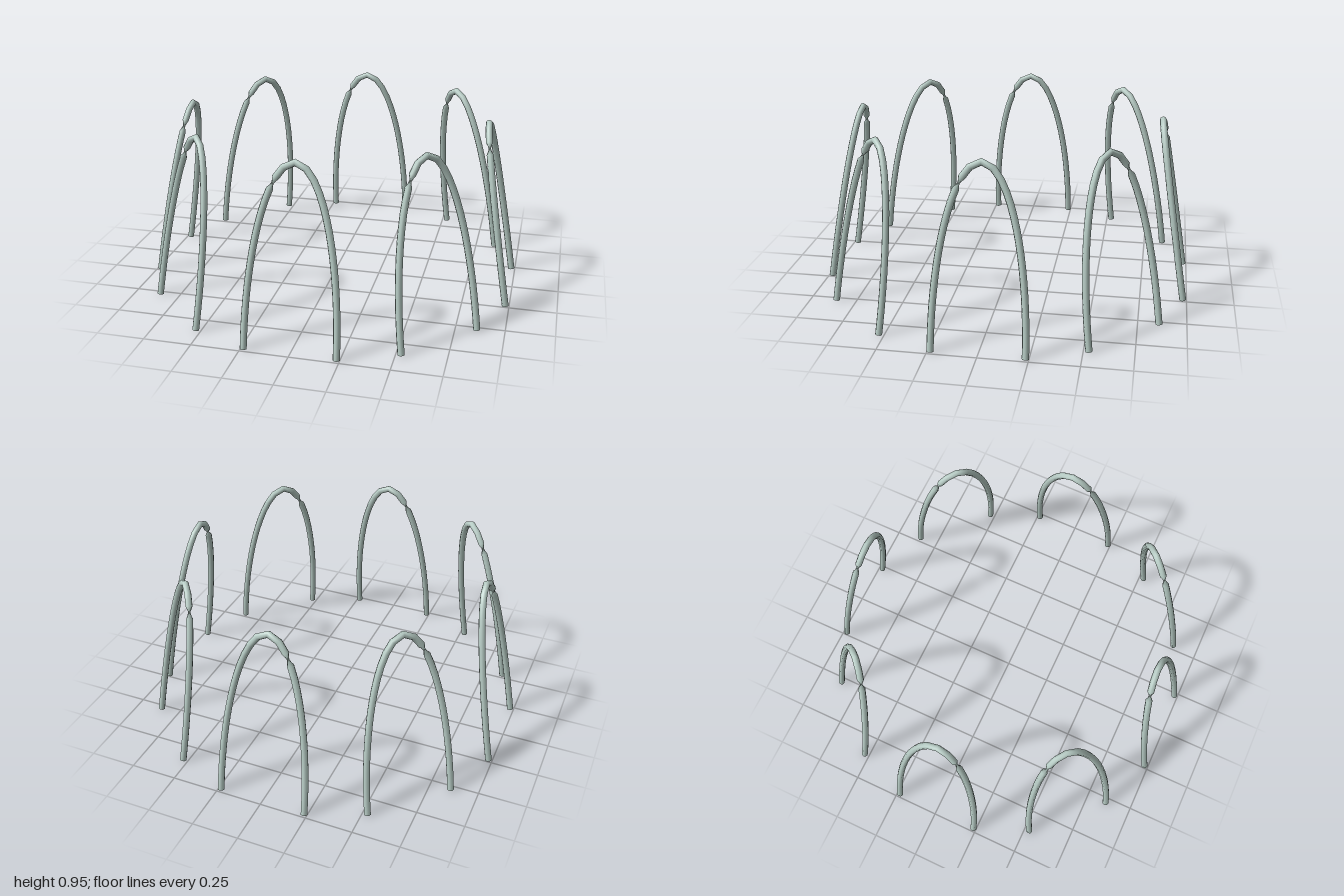
import * as THREE from 'three';

const SEGMENTS = 32, SIDES = 8, RADIUS = 0.018;
const TWIST_RING = 13, TWIST_SHIFT = 3;

// Half ellipse standing on the ground, leaning in towards the centre.
class ArchCurve extends THREE.Curve {
  constructor(direction) {
    super();
    this.direction = direction;
  }
  getPoint(t, target = new THREE.Vector3()) {
    const a = Math.PI * t, rise = Math.sin(a);
    return target.set(-this.direction * 0.234 * Math.cos(a), 0.003 + 0.932 * rise, 0.98 - 0.158 * rise);
  }
}

// Tube whose first rings are turned, leaving a narrow twist near the top.
function twistedTube(curve) {
  const geometry = new THREE.TubeGeometry(curve, SEGMENTS, RADIUS, SIDES);
  for (const name of ['position', 'normal']) {
    const attribute = geometry.attributes[name];
    const source = attribute.clone();
    for (let ring = 0; ring <= TWIST_RING; ring++) {
      const start = ring * (SIDES + 1);
      for (let j = 0; j <= SIDES; j++) {
        const from = start + (j + TWIST_SHIFT) % SIDES;
        attribute.setXYZ(start + j, source.getX(from), source.getY(from), source.getZ(from));
      }
    }
  }
  return geometry;
}

function makeArch(direction, material) {
  const arch = new THREE.Group();
  const curve = new ArchCurve(direction);
  const rod = new THREE.Mesh(twistedTube(curve), material);
  rod.name = 'archRod';
  arch.add(rod);

  // Flat feet closing both ends
  for (const t of [0, 1]) {
    const foot = new THREE.Mesh(new THREE.CircleGeometry(RADIUS, SIDES), material);
    const outward = curve.getTangentAt(t).multiplyScalar(t === 0 ? -1 : 1);
    foot.position.copy(curve.getPointAt(t));
    foot.quaternion.setFromUnitVectors(new THREE.Vector3(0, 0, 1), outward);
    foot.name = t === 0 ? 'startFoot' : 'endFoot';
    arch.add(foot);
  }
  return arch;
}

export function createModel() {
  const model = new THREE.Group();
  model.name = 'archRing';
  const material = new THREE.MeshStandardMaterial({ color: 0xb9cec7 });

  // Eight arches in a ring; the twist changes side on the back half
  for (let i = 0; i < 8; i++) {
    const arch = makeArch(i >= 3 && i <= 6 ? -1 : 1, material);
    arch.rotation.y = i * Math.PI / 4;
    arch.name = `arch${i + 1}`;
    model.add(arch);
  }
  return model;
}
